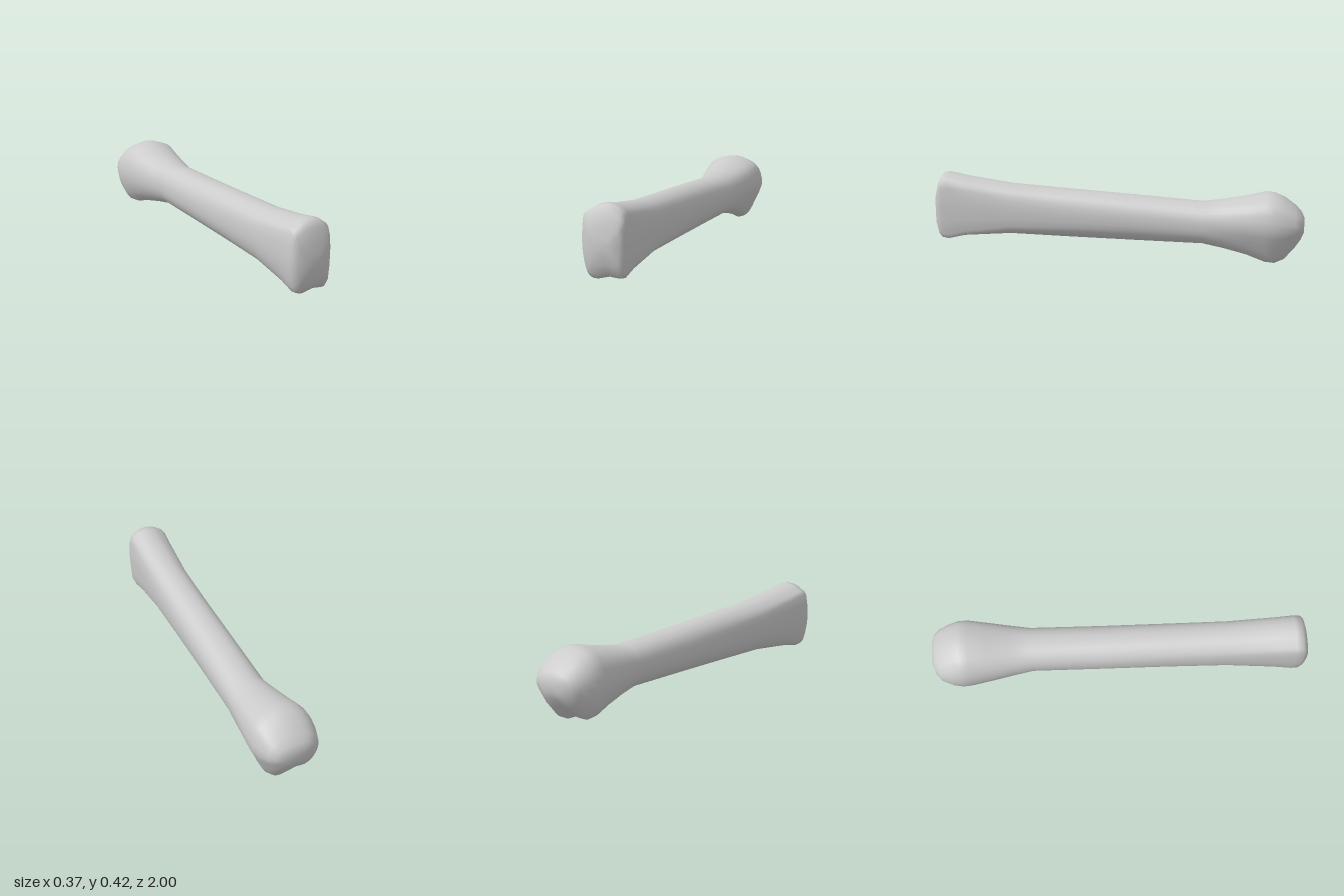
import * as THREE from 'three';

const SIDES = 32;

// Smooth closed outline in -1..1 units, counter-clockwise from +x
function outline(pts) {
  const curve = new THREE.CatmullRomCurve3(
    pts.map(([x, y]) => new THREE.Vector3(x, y, 0)), true, 'catmullrom', 0.5);
  return Array.from({ length: SIDES }, (_, i) => curve.getPoint(i / SIDES));
}

// Knuckle end: two condyles with a groove between them underneath
const headShape = outline([
  [1, 0.05], [0.94, 0.5], [0.79, 0.75], [0.5, 0.9], [0.1, 1], [-0.35, 0.95], [-0.7, 0.78], [-0.93, 0.45],
  [-1, 0.05], [-0.93, -0.35], [-0.75, -0.72], [-0.5, -0.9], [-0.15, -0.85], [0.25, -1], [0.55, -0.86], [0.8, -0.4]]);

// Flat joint end: tall rounded slab
const baseShape = outline([
  [1, 0.05], [0.98, 0.43], [0.93, 0.73], [0.65, 0.91], [0.22, 1], [-0.3, 0.95], [-0.65, 0.82], [-0.91, 0.68],
  [-1, 0.08], [-0.96, -0.38], [-0.83, -0.76], [-0.65, -0.95], [-0.3, -1], [0.22, -0.92], [0.65, -0.95], [0.91, -0.82]]);

// Shaft: slightly squared ellipse
const shaftShape = outline(Array.from({ length: 16 }, (_, i) => {
  const a = i / 16 * Math.PI * 2, c = Math.cos(a), s = Math.sin(a);
  const r = Math.pow(Math.abs(c) ** 2.3 + Math.abs(s) ** 2.3, -1 / 2.3);
  return [c * r, s * r];
}));

// z, xMin, xMax, yMin, yMax, blend (-1 head shape, 0 shaft, 1 base shape)
const sections = [
  [-1.0, -0.04, 0.09, 0.17, 0.245, -0.4],
  [-0.985, -0.09, 0.13, 0.135, 0.275, -0.6],
  [-0.955, -0.125, 0.155, 0.09, 0.305, -0.8],
  [-0.9, -0.147, 0.175, 0.027, 0.347, -1],
  [-0.85, -0.156, 0.184, 0.004, 0.37, -1],
  [-0.8, -0.154, 0.182, 0.008, 0.376, -1],
  [-0.7, -0.14, 0.166, 0.042, 0.35, -0.7],
  [-0.58, -0.119, 0.144, 0.07, 0.328, -0.3],
  [-0.47, -0.102, 0.124, 0.09, 0.312, 0],
  [-0.1, -0.121, 0.1, 0.09, 0.333, 0],
  [0.25, -0.138, 0.079, 0.09, 0.352, 0.15],
  [0.57, -0.155, 0.058, 0.09, 0.37, 0.4],
  [0.83, -0.179, 0.043, 0.071, 0.405, 0.85],
  [0.92, -0.188, 0.038, 0.055, 0.423, 1],
  [0.955, -0.189, 0.036, 0.06, 0.42, 1],
  [0.975, -0.18, 0.03, 0.085, 0.385, 1],
  [0.99, -0.16, 0.012, 0.13, 0.325, 0.9],
  [1.0, -0.115, -0.025, 0.185, 0.26, 0.8]];

function buildBone() {
  const pos = [], index = [];
  for (const [z, x0, x1, y0, y1, blend] of sections) {
    const end = blend < 0 ? headShape : baseShape;
    for (let j = 0; j < SIDES; j++) {
      const p = shaftShape[j].clone().lerp(end[j], Math.abs(blend));
      pos.push((x0 + x1) / 2 + p.x * (x1 - x0) / 2, (y0 + y1) / 2 + p.y * (y1 - y0) / 2, z);
    }
  }
  const last = (sections.length - 1) * SIDES;
  for (let i = 0; i < last; i += SIDES) {
    for (let j = 0; j < SIDES; j++) {
      const a = i + j, b = i + (j + 1) % SIDES;
      index.push(a, b, b + SIDES, a, b + SIDES, a + SIDES);
    }
  }
  // End caps
  const back = pos.length / 3, front = back + 1;
  pos.push(0.025, 0.207, -1, -0.07, 0.222, 1);
  for (let j = 0; j < SIDES; j++) {
    const k = (j + 1) % SIDES;
    index.push(back, k, j, front, last + j, last + k);
  }
  const geo = new THREE.BufferGeometry();
  geo.setAttribute('position', new THREE.Float32BufferAttribute(pos, 3));
  geo.setIndex(index);
  geo.computeVertexNormals();
  return geo;
}

export function createModel() {
  const group = new THREE.Group();
  group.name = 'footBone';
  const bone = new THREE.Mesh(buildBone(), new THREE.MeshStandardMaterial({ color: 0xcccccc }));
  bone.name = 'bone';
  group.add(bone);
  return group;
}
